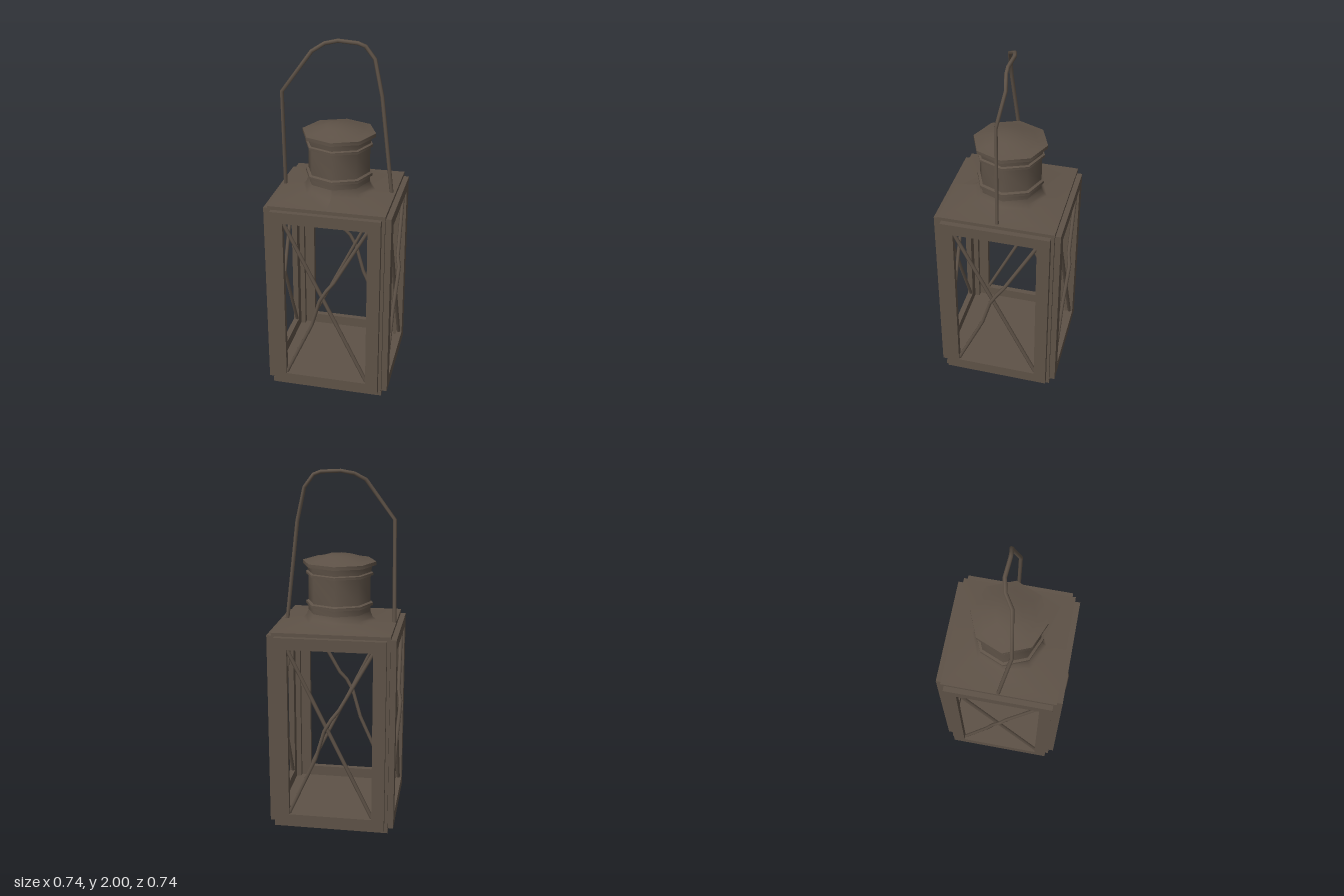
import * as THREE from 'three';
import { toCreasedNormals } from 'three/addons/utils/BufferGeometryUtils.js';

// Straight-segment path with one tube ring per corner
class Polyline extends THREE.Curve {
  constructor(points) {
    super();
    this.points = points.map((p) => new THREE.Vector3(...p));
  }
  getUtoTmapping(u) { return u; }
  getPoint(t, target = new THREE.Vector3()) {
    const n = this.points.length - 1;
    const i = Math.min(Math.floor(t * n), n - 1);
    return target.lerpVectors(this.points[i], this.points[i + 1], t * n - i);
  }
}

export function createModel() {
  const model = new THREE.Group();
  const metal = new THREE.MeshStandardMaterial({ color: 0x5e5247 });
  metal.name = 'dark bronze metal';

  const add = (parent, name, geometry, x = 0, y = 0, z = 0) => {
    const mesh = new THREE.Mesh(geometry, metal);
    mesh.name = name;
    mesh.position.set(x, y, z);
    parent.add(mesh);
    return mesh;
  };
  const wire = (parent, name, points, radius) =>
    add(parent, name, new THREE.TubeGeometry(new Polyline(points), points.length - 1, radius, 6));

  const body = new THREE.Group();
  body.name = 'body';
  body.position.z = -0.005;
  model.add(body);

  // Base, ceiling slab and corner posts
  add(body, 'basePlate', new THREE.BoxGeometry(0.65, 0.028, 0.65), 0, 0.014, 0);
  add(body, 'roofSlab', new THREE.BoxGeometry(0.65, 0.025, 0.65), 0, 1.1375, 0);
  for (const sx of [-1, 1]) {
    for (const sz of [-1, 1]) {
      add(body, 'cornerPost', new THREE.BoxGeometry(0.03, 1.11, 0.03), sx * 0.308, 0.575, sz * 0.308);
    }
  }

  // Four framed openings, each with one straight and one bent wire
  const outline = new THREE.Shape([
    [-0.306, 0.022], [0.306, 0.022], [0.306, 1.13], [-0.306, 1.13],
  ].map((p) => new THREE.Vector2(...p)));
  outline.holes.push(new THREE.Path([
    [-0.235, 0.09], [-0.235, 1.065], [0.235, 1.065], [0.235, 0.09],
  ].map((p) => new THREE.Vector2(...p))));
  const frameGeometry = new THREE.ExtrudeGeometry(outline, { depth: 0.033, bevelEnabled: false });
  for (let i = 0; i < 4; i++) {
    const side = new THREE.Group();
    side.name = 'sidePanel';
    side.rotation.y = (i * Math.PI) / 2;
    body.add(side);
    add(side, 'frame', frameGeometry, 0, 0, 0.322);
    wire(side, 'straightWire', [[-0.242, 1.075, 0.335], [0.242, 0.08, 0.335]], 0.011);
    wire(side, 'bentWire', [
      [0.242, 1.075, 0.335], [0.05, 0.73, 0.342], [0.01, 0.68, 0.357],
      [-0.03, 0.61, 0.355], [-0.08, 0.44, 0.342], [-0.242, 0.08, 0.335],
    ], 0.011);
  }

  // Roof: eight-sided lathe whose lower rings are squared out to the eaves
  const roof = new THREE.LatheGeometry([
    [0.324, 1.15], [0.21, 1.163], [0.19, 1.18], [0.178, 1.21],
  ].map((p) => new THREE.Vector2(...p)), 8);
  const pos = roof.attributes.position;
  for (let i = 0; i < pos.count; i++) {
    if (pos.getY(i) > 1.155) continue;
    const x = pos.getX(i), z = pos.getZ(i);
    const k = 0.324 / Math.max(Math.abs(x), Math.abs(z));
    pos.setX(i, x * k);
    pos.setZ(i, z * k);
  }
  roof.computeVertexNormals();
  add(body, 'roof', roof);

  // Octagonal chimney with two rings and a domed cap
  const chimney = new THREE.LatheGeometry([
    [0.178, 1.2], [0.178, 1.243], [0.192, 1.246], [0.192, 1.262], [0.177, 1.268],
    [0.177, 1.415], [0.192, 1.418], [0.192, 1.432], [0.18, 1.437], [0.184, 1.472],
    [0.208, 1.475], [0.208, 1.495], [0.15, 1.506], [0.075, 1.528], [0, 1.531],
  ].map((p) => new THREE.Vector2(...p)), 8);
  add(body, 'chimney', toCreasedNormals(chimney, 0.82));

  // Hand-bent carrying handle
  wire(model, 'handle', [
    [-0.315, 1.14, -0.008], [-0.3, 1.72, 0.065], [-0.14, 1.94, 0.035], [-0.08, 1.975, -0.008],
    [-0.01, 1.989, -0.024], [0.1, 1.983, -0.017], [0.14, 1.968, -0.019],
    [0.19, 1.9, -0.03], [0.24, 1.71, 0.01], [0.303, 1.14, -0.008],
  ], 0.011);

  return model;
}
